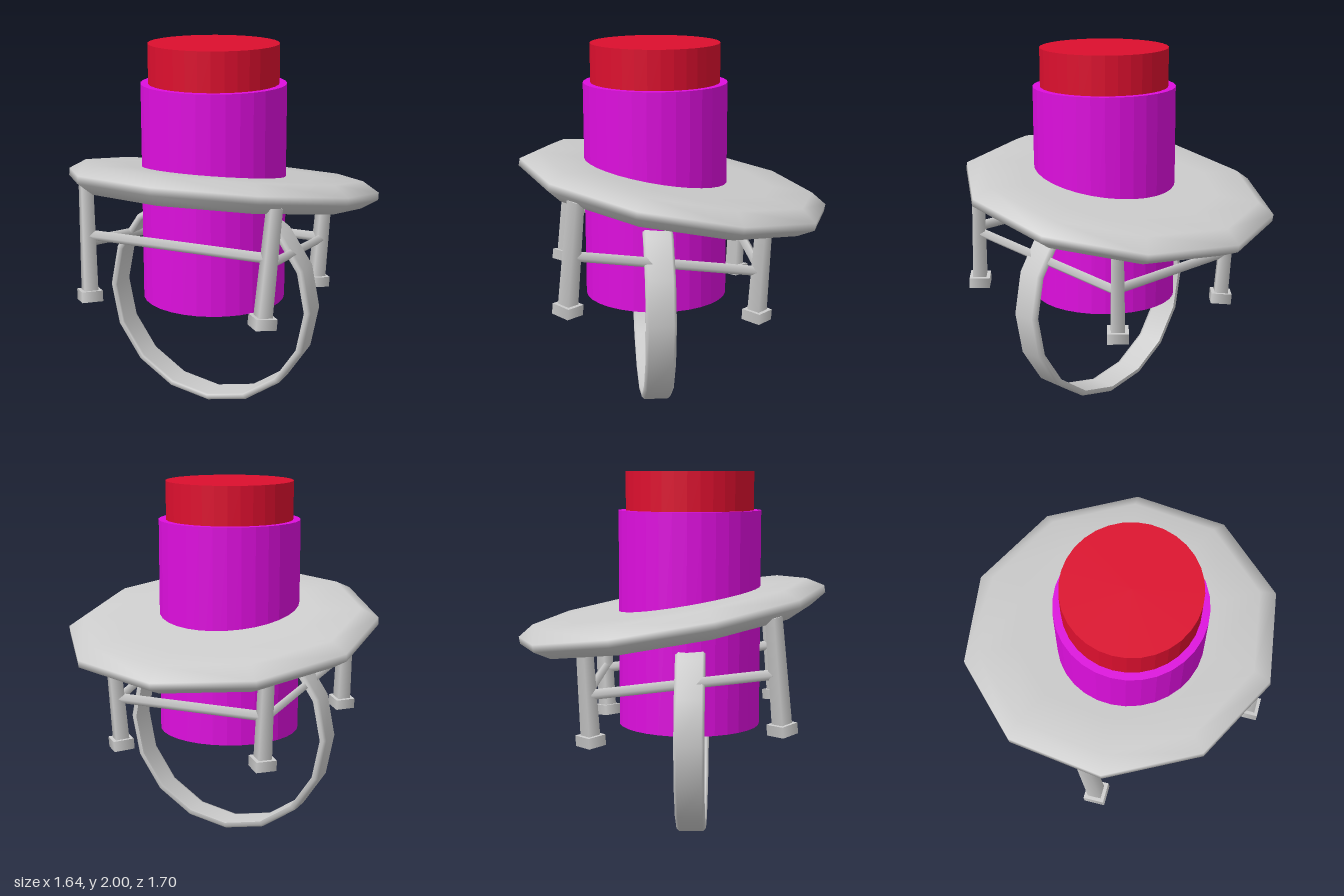
import * as THREE from 'three';

const grey = new THREE.MeshStandardMaterial({ color: 0xcccccc });
grey.name = 'light grey';
const magenta = new THREE.MeshStandardMaterial({ color: 0xdd0edd, flatShading: true });
magenta.name = 'magenta';
const red = new THREE.MeshStandardMaterial({ color: 0xdc0f2e, flatShading: true });
red.name = 'red';
const navy = new THREE.MeshStandardMaterial({ color: 0x00004a });
navy.name = 'navy';

const V = (x, y, z) => new THREE.Vector3(x, y, z);
const profile = (pts) => pts.map(([x, y]) => new THREE.Vector2(x, y));

function add(parent, name, geometry, material) {
  const mesh = new THREE.Mesh(geometry, material);
  mesh.name = name;
  parent.add(mesh);
  return mesh;
}

// Four-sided tapered rod running from a to b
function rod(parent, name, a, b, rA, rB = rA) {
  const mesh = add(parent, name, new THREE.CylinderGeometry(rB, rA, a.distanceTo(b), 4), grey);
  mesh.position.copy(a).add(b).multiplyScalar(0.5);
  mesh.quaternion.setFromUnitVectors(V(0, 1, 0), b.clone().sub(a).normalize());
  return mesh;
}

// Thin downward-facing plate on the base, corners as [across, along] on the diagonal
function basePlate(parent, name, corners, material) {
  const k = Math.SQRT1_2;
  const shape = new THREE.Shape(profile(corners.map(([r, u]) => [k * (u - r), -k * (r + u)])));
  const mesh = add(parent, name, new THREE.ShapeGeometry(shape), material);
  mesh.rotation.x = Math.PI / 2;
  mesh.position.set(0, 0.607, 0.105);
}

export function createModel() {
  const model = new THREE.Group();
  model.name = 'model';

  // Upright body and its cap
  const body = add(model, 'body', new THREE.CylinderGeometry(0.39, 0.39, 1.18, 32), magenta);
  body.position.set(0, 1.2, 0.105);
  const cap = add(model, 'cap', new THREE.CylinderGeometry(0.35, 0.35, 0.3, 32), red);
  cap.position.set(0, 1.85, 0.105);

  // Tilted ten-sided disc with bevelled rim
  const disc = add(model, 'disc', new THREE.LatheGeometry(profile([
    [0, -0.075], [0.55, -0.075], [0.77, -0.075], [0.86, -0.02],
    [0.86, 0.02], [0.77, 0.075], [0.55, 0.075], [0, 0.075],
  ]), 10), grey);
  disc.position.y = 1.213;
  disc.rotation.x = -Math.PI / 18;

  // Upright hoop, a flat band with rounded edges
  const hoop = add(model, 'hoop', new THREE.LatheGeometry(profile([
    [0.572, -0.08], [0.593, -0.08], [0.606, -0.065], [0.606, 0.065],
    [0.593, 0.08], [0.572, 0.08], [0.57, 0.065], [0.57, -0.065], [0.572, -0.08],
  ]), 16), grey);
  hoop.rotation.x = Math.PI / 2;
  hoop.position.set(0, 0.606, 0.125);

  // Legs with feet, and side bars, mirrored
  for (const s of [1, -1]) {
    const legs = [
      ['front', V(s * 0.5, 0.68, 0.605), V(s * 0.537, 1.27, 0.552)],
      ['back', V(s * 0.42, 0.59, -0.4), V(s * 0.45, 1.1, -0.425)],
    ];
    for (const [end, bottom, top] of legs) {
      rod(model, end + 'Leg', bottom, top, 0.053, 0.045);
      const axis = top.clone().sub(bottom).normalize();
      rod(model, end + 'Foot', bottom.clone().addScaledVector(axis, -0.025),
        bottom.clone().addScaledVector(axis, 0.033), 0.08);
    }
    rod(model, 'sideBar', V(s * 0.435, 0.84, -0.4), V(s * 0.512, 0.97, 0.55), 0.028);
  }

  // Cross bars
  rod(model, 'frontBar', V(-0.5, 1.01, 0.572), V(0.5, 1.01, 0.572), 0.028);
  rod(model, 'backBar', V(-0.43, 0.85, -0.41), V(0.43, 0.85, -0.41), 0.028);

  // Small markings on the base
  basePlate(model, 'baseArc', [
    [-0.08, 0.12], [0.065, 0.12], [0.165, 0.03], [0.15, -0.06], [0.08, -0.05], [0.1, 0.02], [0.03, 0.08],
  ], navy);
  basePlate(model, 'baseTriangle', [[-0.315, 0.12], [-0.18, 0.27], [-0.12, 0.06]], grey);
  basePlate(model, 'baseWedge', [[-0.275, -0.18], [-0.12, -0.08], [-0.19, -0.155], [-0.105, -0.25]], grey);

  return model;
}
